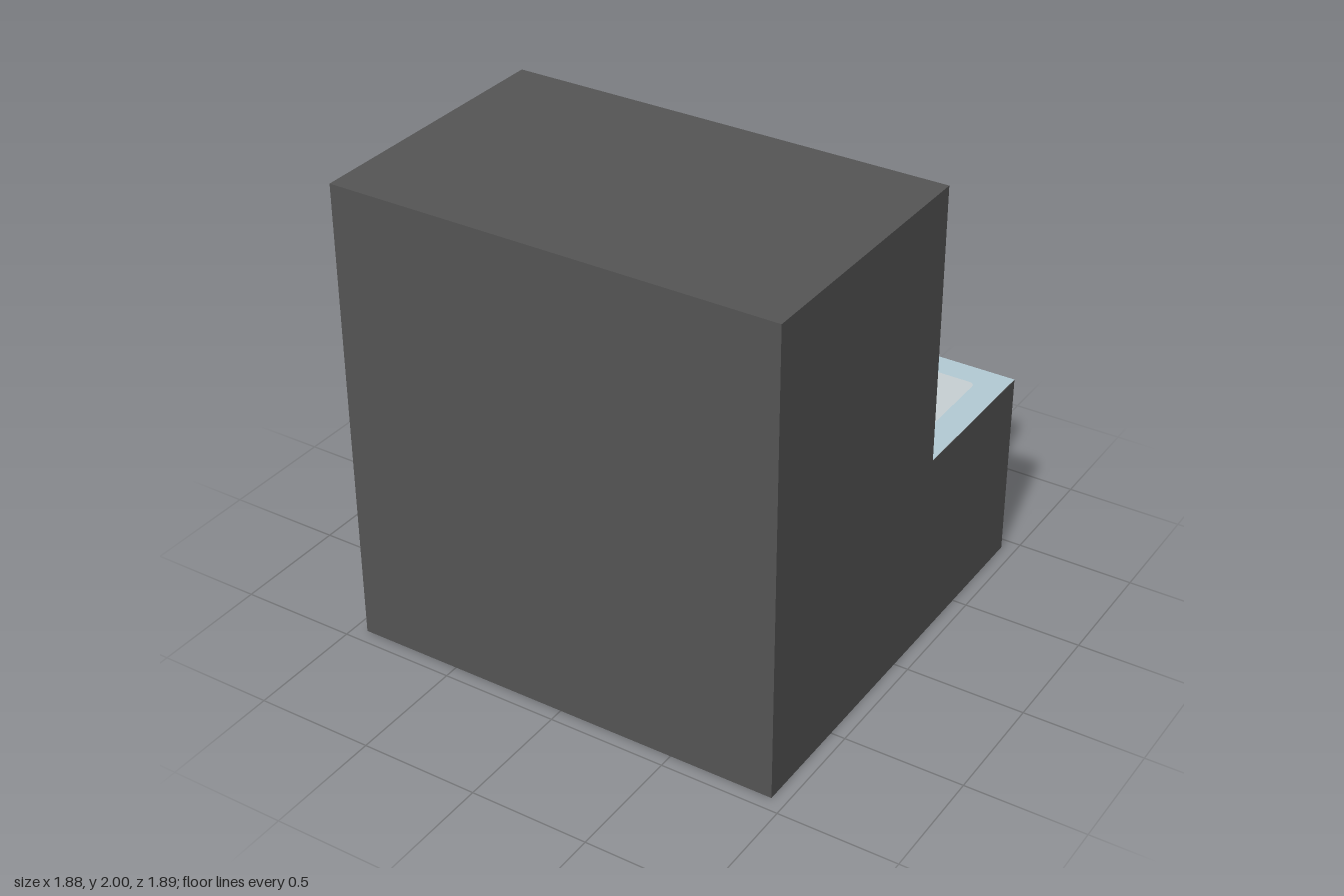
import * as THREE from 'three';

const U = 2 / 17; // modelling grid unit
const LIFT = 0.003; // spacing between stacked painted plates

const material = (name, color) => {
  const m = new THREE.MeshStandardMaterial({ color });
  m.name = name;
  return m;
};

// Rectangle x0..x1, y0..y1 in grid units with rounded corners
function roundedRect(x0, y0, x1, y1, r) {
  const s = new THREE.Shape();
  s.moveTo(x0 + r, y0);
  s.lineTo(x1 - r, y0);
  s.quadraticCurveTo(x1, y0, x1, y0 + r);
  s.lineTo(x1, y1 - r);
  s.quadraticCurveTo(x1, y1, x1 - r, y1);
  s.lineTo(x0 + r, y1);
  s.quadraticCurveTo(x0, y1, x0, y1 - r);
  s.lineTo(x0, y0 + r);
  s.quadraticCurveTo(x0, y0, x0 + r, y0);
  return new THREE.ShapeGeometry(s, 4).scale(U, U, U);
}

export function createModel() {
  const group = new THREE.Group();
  const dark = material('charcoal', 0x555555);
  const wood = material('brown', 0x94643b);
  const pale = material('pale grey', 0xc8d1d4);
  const ice = material('pale blue', 0xb3cbd5);
  const blue = material('screen blue', 0x68afd9);
  const slate = material('slate underside', 0x4e5465);

  const add = (name, geometry, mat) => {
    const mesh = new THREE.Mesh(geometry, mat);
    mesh.name = name;
    group.add(mesh);
    return mesh;
  };

  // Plate facing -z at grid depth z, raised by a number of layers
  const backPlate = (name, x0, y0, x1, y1, r, z, layer, mat) => {
    const g = roundedRect(-x1, y0, -x0, y1, r).rotateY(Math.PI);
    add(name, g.translate(0, 0, z * U - layer * LIFT), mat);
  };

  // Plate facing up on the counter
  const topPlate = (name, x0, z0, x1, z1, r, layer, mat) => {
    const g = roundedRect(x0, -z1, x1, -z0, r).rotateX(-Math.PI / 2);
    add(name, g.translate(0, 7 * U + layer * LIFT, 0), mat);
  };

  // Stepped cabinet body: side profile extruded across the width
  const profile = new THREE.Shape(
    [[-8, 0.02], [8, 0.02], [8, 7], [2, 7], [2, 17], [-8, 17]]
      .map(([z, y]) => new THREE.Vector2(z * U, y * U)));
  const bodyGeometry = new THREE.ExtrudeGeometry(profile, { depth: 16 * U, bevelEnabled: false });
  add('cabinetBody', bodyGeometry.translate(0, 0, -8 * U).rotateY(Math.PI / 2), dark);

  // Underside
  add('underside', new THREE.PlaneGeometry(16 * U, 16 * U).rotateX(Math.PI / 2), slate);

  // Counter surface with inset
  topPlate('counterTop', -8, -8, 8, -2, 0, 1, ice);
  topPlate('counterInset', -7, -7, 7, -2, 0.25, 2, pale);

  // Drawer front and its two handles
  backPlate('drawerFront', -7, 1, 7, 6, 0.35, -8, 1, wood);
  for (const x of [-6, 4]) backPlate('drawerHandle', x, 3, x + 2, 4, 0.25, -8, 2, pale);

  // Upper control panel and its three buttons
  backPlate('controlPanel', 2, 8, 7, 16, 0.35, -2, 1, wood);
  for (const y of [10, 12, 14]) backPlate('controlButton', 2, y, 4, y + 1, 0.25, -2, 2, pale);

  // Screen casing, glass and highlights
  const casing = add('screenCasing', new THREE.BoxGeometry(8 * U, 8 * U, U), dark);
  casing.position.set(-3 * U, 12 * U, -2.5 * U);
  backPlate('screenGlass', -7, 8, 1, 16, 0, -3, 1, blue);
  backPlate('screenHighlight', -5, 15, -4, 16, 0.2, -3, 2, pale);
  backPlate('screenHighlight', -6, 14, -5, 15, 0.2, -3, 2, pale);

  return group;
}
